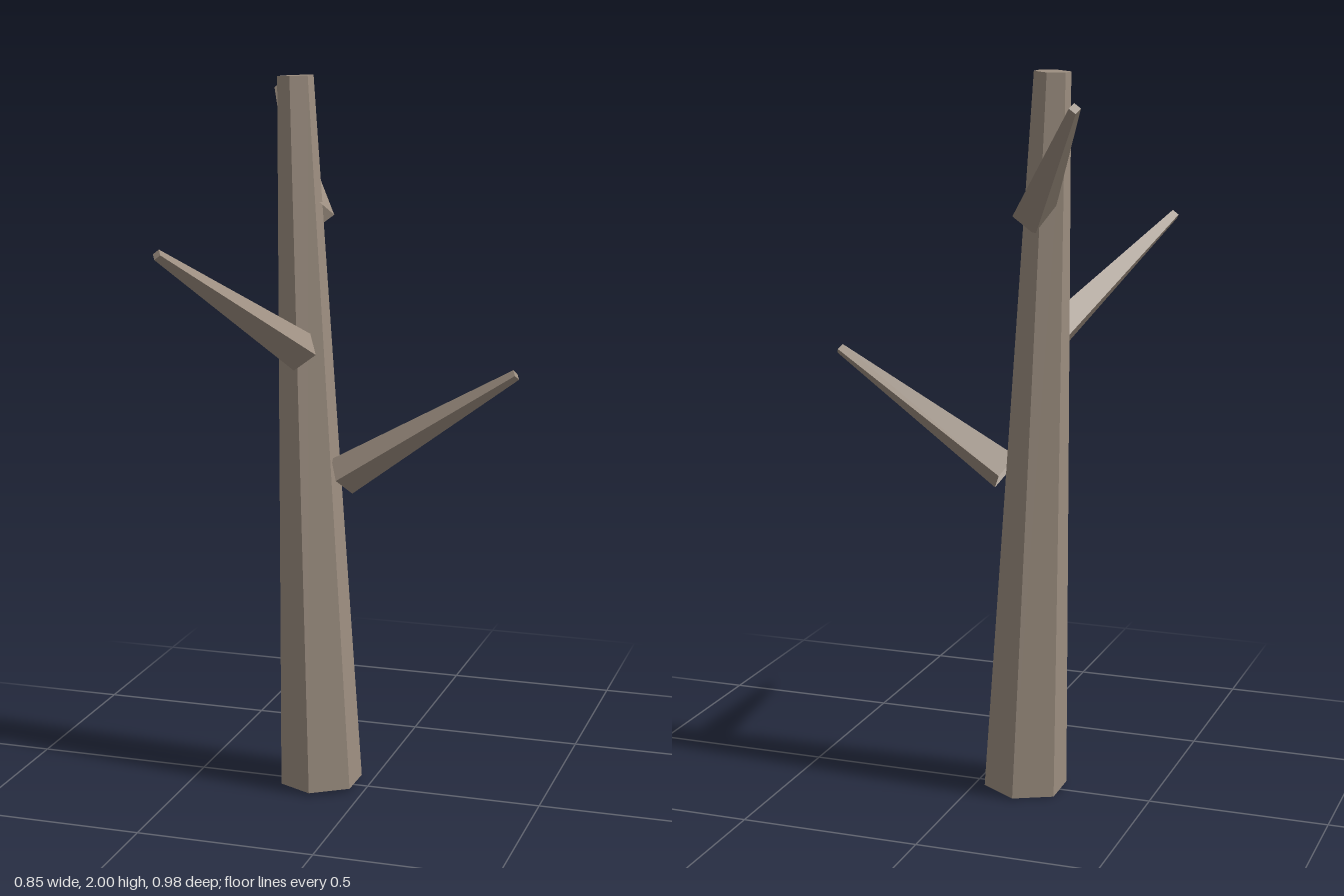
import * as THREE from 'three';
import { mergeGeometries } from 'three/addons/utils/BufferGeometryUtils.js';

const bark = new THREE.MeshStandardMaterial({
  color: 0x9c8e80, flatShading: true, side: THREE.DoubleSide,
});

// Tapered prism from one point to another: open at its base, capped at its tip.
// One corner of its section points along "side".
function taperedLimb(name, from, to, baseRadius, tipRadius, sides, side) {
  const axis = to.clone().sub(from);
  const length = axis.length();
  const wall = new THREE.CylinderGeometry(tipRadius, baseRadius, length, sides, 1, true);
  const cap = new THREE.CircleGeometry(tipRadius, sides, Math.PI / 2)
    .rotateX(-Math.PI / 2).translate(0, length / 2, 0);
  const geometry = mergeGeometries([wall, cap]).translate(0, length / 2, 0);

  const y = axis.normalize();
  const x = y.clone().cross(side).normalize();
  const z = x.clone().cross(y);
  geometry.applyMatrix4(new THREE.Matrix4().makeBasis(x, y, z).setPosition(from));

  const mesh = new THREE.Mesh(geometry, bark);
  mesh.name = name;
  return mesh;
}

export function createModel() {
  const tree = new THREE.Group();
  tree.name = 'bareTree';

  // Leaning six-sided trunk
  tree.add(taperedLimb('trunk',
    new THREE.Vector3(-0.138, 0.004, 0), new THREE.Vector3(-0.216, 1.998, -0.04),
    0.118, 0.05, 6, new THREE.Vector3(0, 0, 1)));

  // Three four-sided branches, a third of a turn apart and climbing the trunk
  const branches = [
    ['lowerBranch', -0.075, 0.905, 0, 0],
    ['middleBranch', -0.17, 1.26, 0.056, 1],
    ['upperBranch', -0.17, 1.62, -0.056, 2],
  ];
  for (const [name, x, y, z, step] of branches) {
    const angle = step * Math.PI * 2 / 3;
    const from = new THREE.Vector3(x, y, z);
    const reach = new THREE.Vector3(0.49 * Math.cos(angle), 0.315, 0.49 * Math.sin(angle));
    const side = new THREE.Vector3(-Math.sin(angle), 0, Math.cos(angle));
    tree.add(taperedLimb(name, from, from.clone().add(reach), 0.056, 0.015, 4, side));
  }
  return tree;
}
